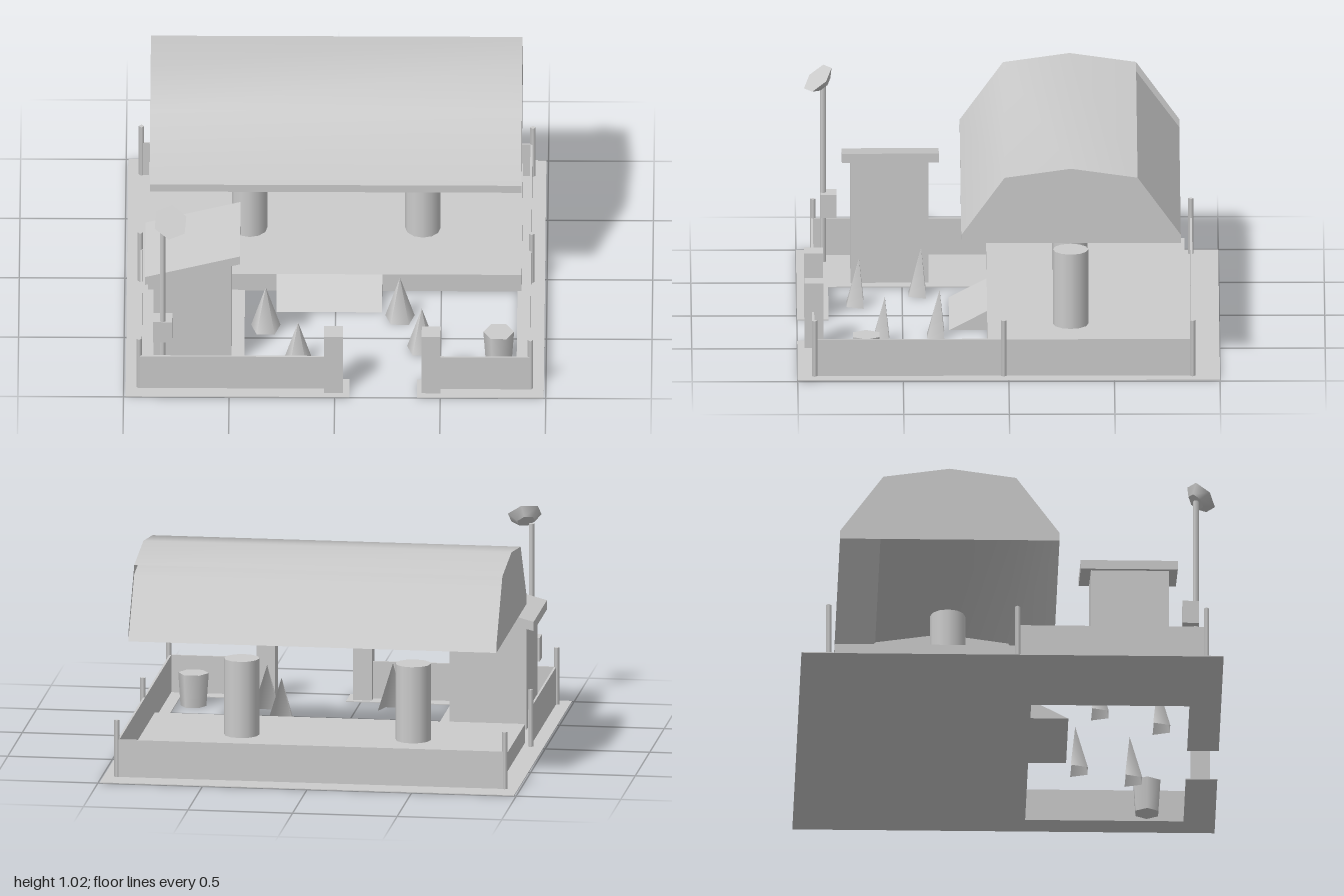
import * as THREE from 'three';

const solid = new THREE.MeshStandardMaterial({ color: 0xcccccc });
const thin = new THREE.MeshStandardMaterial({ color: 0xcccccc, side: THREE.DoubleSide });

export function createModel() {
  const model = new THREE.Group();

  function add(name, geometry, x = 0, y = 0, z = 0, material = solid) {
    const mesh = new THREE.Mesh(geometry, material);
    mesh.name = name;
    mesh.position.set(x, y, z);
    model.add(mesh);
    return mesh;
  }
  // box from its minimum and maximum corners
  function box(name, x0, x1, y0, y1, z0, z1) {
    return add(name, new THREE.BoxGeometry(x1 - x0, y1 - y0, z1 - z0), (x0 + x1) / 2, (y0 + y1) / 2, (z0 + z1) / 2);
  }
  const shapeOf = (pts) => new THREE.Shape(pts.map(([a, b]) => new THREE.Vector2(a, b)));
  const extrude = (pts, depth) => new THREE.ExtrudeGeometry(shapeOf(pts), { depth, bevelEnabled: false });

  // sheet swept along x through a path of [z, y] points
  function sheet(name, path, halfWidth) {
    const pos = [], index = [];
    path.forEach(([z, y], i) => {
      pos.push(-halfWidth, y, z, halfWidth, y, z);
      const a = 2 * i;
      if (i < path.length - 1) index.push(a, a + 1, a + 3, a, a + 3, a + 2);
    });
    const g = new THREE.BufferGeometry();
    g.setAttribute('position', new THREE.Float32BufferAttribute(pos, 3));
    g.setIndex(index);
    g.computeVertexNormals();
    return add(name, g, 0, 0, 0, thin);
  }

  // ground plate around an open yard with a gate gap
  const ground = extrude([
    [-0.99, 1], [-0.99, -1], [0.99, -1], [0.99, 1], [0.39, 1], [0.39, 0.85], [0.86, 0.85],
    [0.86, 0.1], [-0.43, 0.1], [-0.43, 0.85], [0.07, 0.85], [0.07, 1],
  ].map(([x, z]) => [x, -z]), 0.004);
  add('groundPlate', ground.rotateX(-Math.PI / 2));

  // raised platform and its ramp
  box('platform', -0.89, 0.88, 0.004, 0.095, -0.84, 0.1);
  const ramp = extrude([[0.1, 0], [0.28, 0], [0.1, 0.095]], 0.5).rotateY(-Math.PI / 2);
  add('ramp', ramp, 0.22, 0, 0);

  // perimeter walls
  const h = 0.185, t = 0.005;
  box('backWall', -0.925, 0.925, 0, h, -0.87 - t, -0.87 + t);
  box('leftWall', 0.92 - t, 0.92 + t, 0, h, -0.87, 0.925);
  box('rightWall', -0.92 - t, -0.92 + t, 0, h, 0.02, 0.925);
  box('frontWallRight', -0.925, -0.01, 0, h, 0.925 - t, 0.925 + t);
  box('frontWallLeft', 0.46, 0.925, 0, h, 0.925 - t, 0.925 + t);

  // gate posts
  for (const x of [-0.005, 0.457]) box('gatePost', x - 0.045, x + 0.045, 0, 0.325, 0.876, 0.966);

  // slim fence poles
  for (const x of [-0.927, 0.927])
    for (const z of [-0.87, 0.025, 0.92])
      add('fencePole', new THREE.CylinderGeometry(0.013, 0.013, 0.28, 4), x, 0.14, z);

  // columns on the platform
  for (const x of [-0.41, 0.41])
    add('column', new THREE.CylinderGeometry(0.084, 0.084, 0.37, 12), x, 0.28, -0.295);

  // large vaulted roof: outer skin, inner lining and end panels
  const outer = [[0.225, 0.69], [0.02, 0.975], [-0.295, 1.02], [-0.61, 0.975]];
  const inner = [[0.225, 0.65], [0.02, 0.93], [-0.295, 0.975], [-0.61, 0.93], [-0.815, 0.65]];
  sheet('roofSkin', outer, 0.88);
  sheet('roofFrontEdge', [inner[0], outer[0]], 0.88);
  sheet('roofLining', inner.slice(0, 4), 0.88);
  sheet('roofBackPanel', inner.slice(3), 0.88);
  for (const x of [-0.88, 0.88]) {
    const end = new THREE.ShapeGeometry(shapeOf([inner[0], ...outer, [-0.815, 0.69], inner[4]]));
    add('roofEnd', end.rotateY(-Math.PI / 2), x, 0, 0, thin);
  }

  // hut with a sloping slab roof
  add('hutBody', extrude([[-0.86, 0], [-0.49, 0], [-0.49, 0.612], [-0.86, 0.513]], 0.37), 0, 0, 0.374);
  add('hutRoof', extrude([[-0.9, 0.495], [-0.45, 0.615], [-0.45, 0.66], [-0.9, 0.54]], 0.46), 0, 0, 0.325);

  // mast with control box and tilted dish
  add('mast', new THREE.CylinderGeometry(0.014, 0.014, 0.89, 6), -0.815, 0.445, 0.872);
  box('mastBox', -0.862, -0.77, 0.235, 0.35, 0.808, 0.885);
  const dish = add('dish', new THREE.CylinderGeometry(0.085, 0.045, 0.04, 6), -0.783, 0.915, 0.885);
  dish.quaternion.setFromUnitVectors(new THREE.Vector3(0, 1, 0), new THREE.Vector3(0.25, 0.72, 0.62).normalize());

  // open-backed cones in the yard
  for (const [x, z] of [[-0.33, 0.41], [0.305, 0.325], [0.41, 0.585], [-0.175, 0.705]]) {
    const cone = new THREE.ConeGeometry(0.073, 0.23, 3, 1, true, -0.6 * Math.PI, 1.2 * Math.PI);
    add('yardCone', cone, x, 0.115, z, thin);
  }

  // six-sided stump
  add('stump', new THREE.CylinderGeometry(0.073, 0.062, 0.16, 6).rotateY(Math.PI / 6), 0.775, 0.08, 0.675);

  return model;
}
